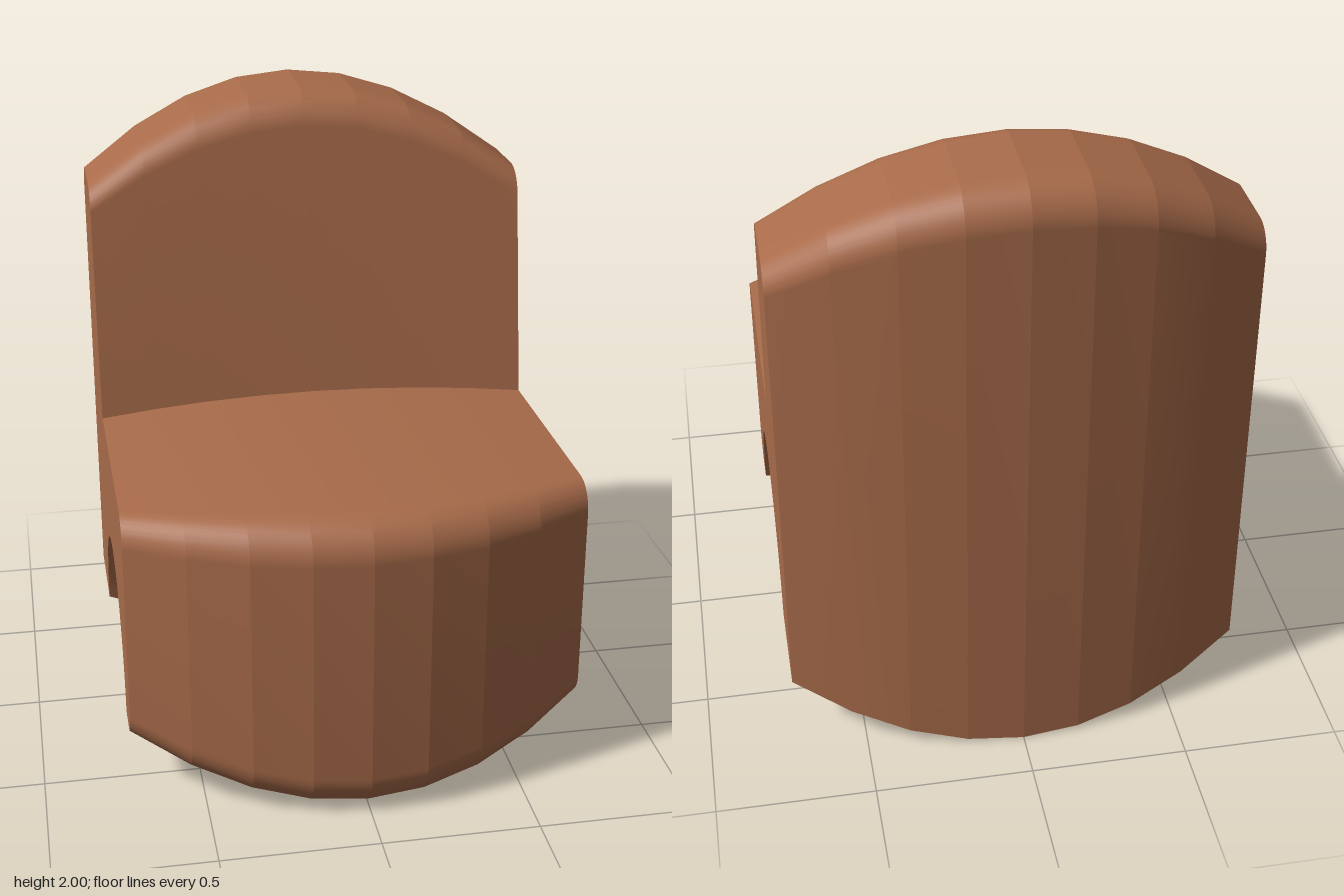
import * as THREE from 'three';
import { toCreasedNormals } from 'three/addons/utils/BufferGeometryUtils.js';

const HALF_WIDTH = 0.725;
const BANDS = 8;

// Profile corners as [z, y, rounding], at the middle and at the two flat sides
const MIDDLE = {
  corners: [[0.61, 0, 0], [0.85, 0, 0.13], [0.85, 1, 0.13], [-0.22, 1, 0], [-0.387, 2, 0.11], [-0.85, 2, 0.12], [-0.85, 0, 0], [-0.42, 0, 0]],
  arch: { z: 0.095, y: 0, r: 0.515 },
};
const SIDE = {
  corners: [[0.43, 0.2, 0], [0.615, 0.2, 0.09], [0.615, 0.96, 0.09], [-0.2, 0.96, 0], [-0.33, 1.72, 0.08], [-0.68, 1.72, 0.08], [-0.68, 0.2, 0], [-0.35, 0.2, 0]],
  arch: { z: 0.04, y: 0.2, r: 0.39 },
};

// Closed outline in (z, y): rounded corners, then the arch underneath
function outline({ corners, arch }) {
  const v = corners.map(([z, y]) => new THREE.Vector2(z, y));
  const points = [];
  corners.forEach(([, , r], i) => {
    if (!r) return points.push(v[i]);
    const toward = (other, d) => v[i].clone().add(other.clone().sub(v[i]).setLength(d));
    const curve = new THREE.CubicBezierCurve(
      toward(v[i - 1], r), toward(v[i - 1], r * 0.45),
      toward(v[i + 1], r * 0.45), toward(v[i + 1], r));
    points.push(...curve.getPoints(18));
  });
  const steps = 36;
  for (let i = 1; i < steps; i++) {
    const a = Math.PI * (1 - i / steps);
    points.push(new THREE.Vector2(arch.z + arch.r * Math.cos(a), arch.y + arch.r * Math.sin(a)));
  }
  return points;
}

// Loft the outline across the width; it shrinks with the square of the distance from the middle
function bodyGeometry() {
  const mid = outline(MIDDLE), side = outline(SIDE), n = mid.length;
  const position = [], index = [];
  for (let i = 0; i <= BANDS; i++) {
    const t = (2 * i) / BANDS - 1;
    for (let j = 0; j < n; j++) {
      const p = mid[j].clone().lerp(side[j], t * t);
      position.push(t * HALF_WIDTH, p.y, p.x);
    }
  }
  for (let i = 0; i < BANDS; i++) {
    for (let j = 0; j < n; j++) {
      const k = (j + 1) % n;
      const a = i * n + j, b = i * n + k, c = a + n, d = b + n;
      index.push(a, c, b, b, c, d);
    }
  }
  // Flat sides
  const last = BANDS * n;
  for (const [a, b, c] of THREE.ShapeUtils.triangulateShape(side, [])) {
    index.push(a, b, c, last + a, last + c, last + b);
  }
  const geometry = new THREE.BufferGeometry();
  geometry.setAttribute('position', new THREE.Float32BufferAttribute(position, 3));
  geometry.setIndex(index);
  return toCreasedNormals(geometry, 0.11);
}

export function createModel() {
  const group = new THREE.Group();
  group.name = 'chair';
  const body = new THREE.Mesh(bodyGeometry(), new THREE.MeshStandardMaterial({ color: 0xa86b4a }));
  body.name = 'seatAndBackrest';
  group.add(body);
  return group;
}
